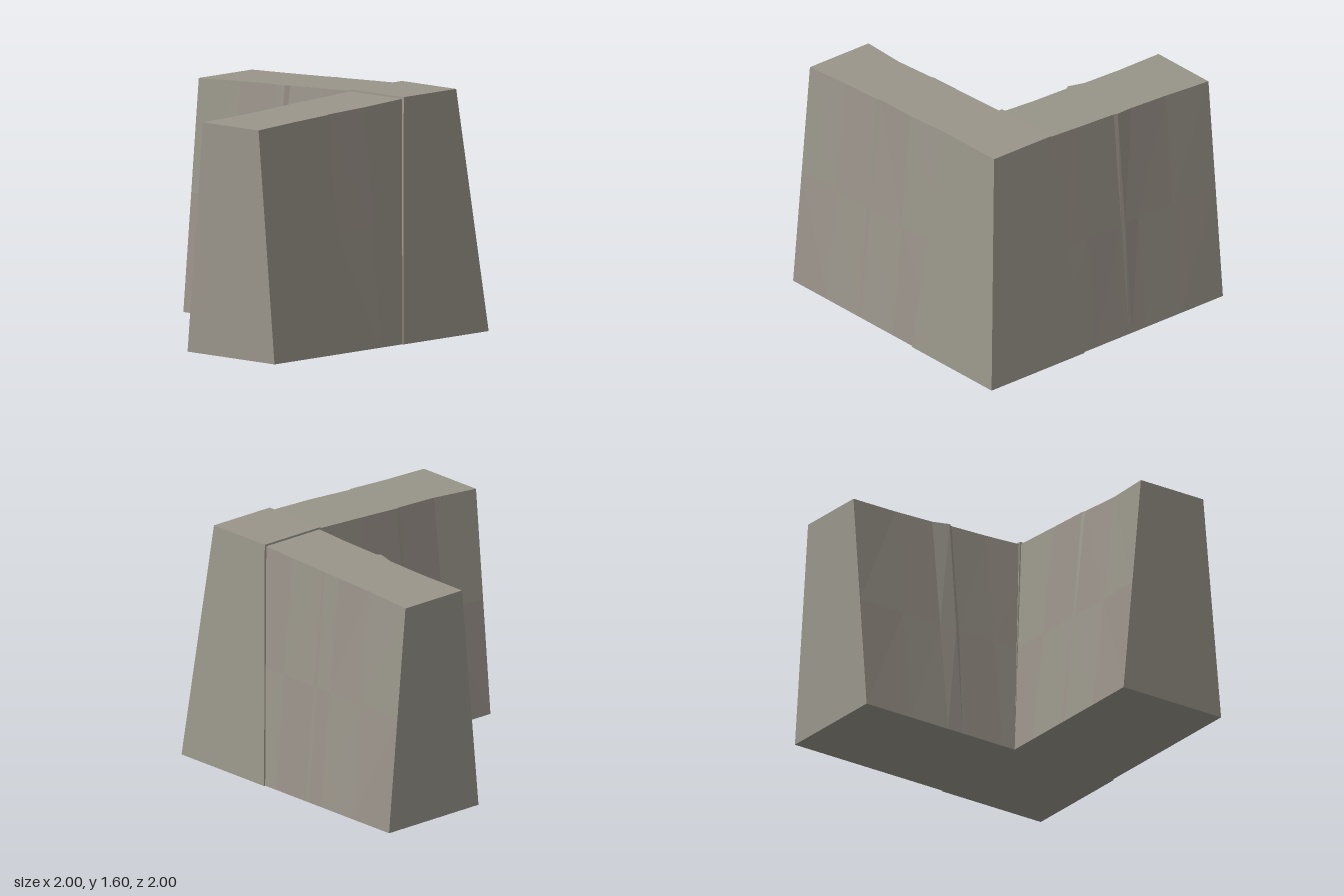
import * as THREE from 'three';

// Stations along an arm: [position, inner top edge, outer top edge]
const frontStations = [
  [-1, 0.34, 0.845], [-0.66, 0.373, 0.833], [-0.35, 0.367, 0.836], [-0.32, 0.36, 0.825],
  [0, 0.366, 0.84], [0.5, 0.37, 0.83],
];
const sideStations = [
  [-1, 0.345, 0.845], [-0.64, 0.368, 0.835], [-0.34, 0.374, 0.836], [-0.22, 0.345, 0.845],
  [-0.19, 0.366, 0.838], [0.1, 0.373, 0.84], [0.5, 0.365, 0.836],
];
const topHeight = (t) => 1.53 + (t + 1) * 0.042;

function meshFrom(name, positions, tones, materials) {
  const geometry = new THREE.BufferGeometry();
  geometry.setAttribute('position', new THREE.Float32BufferAttribute(positions, 3));
  tones.forEach((tone, i) => geometry.addGroup(i * 3, 3, tone));
  geometry.computeVertexNormals();
  const mesh = new THREE.Mesh(geometry, materials);
  mesh.name = name;
  return mesh;
}

// Tapered wall arm lofted through its stations; swap runs it along z instead of x
function wallArm(name, stations, swap, materials) {
  const positions = [], tones = [];
  const mid = 0.78;
  const rings = stations.map(([t, inner, outer]) => {
    const h = topHeight(t), f = mid / h;
    return [
      [t, 0, 0.2], [t, mid, 0.2 + (inner - 0.2) * f], [t, h, inner],
      [t, h, outer], [t, mid, 0.99 + (outer - 0.99) * f], [t, 0, 0.99],
    ];
  });
  const tri = (a, b, c, tone) => {
    for (const [t, y, across] of swap ? [a, c, b] : [a, b, c]) {
      positions.push(swap ? across : t, y, swap ? t : across);
    }
    tones.push(tone);
  };
  for (let i = 0; i < rings.length - 1; i++) {
    for (let k = 0; k < 6; k++) {
      const n = (k + 1) % 6;
      // Stone panels alternate gently on the sloping faces
      const tone = k === 2 || k === 5 ? 0 : (i + (k === 0 || k === 4 ? 1 : 0)) % 2;
      tri(rings[i][k], rings[i][n], rings[i + 1][n], tone);
      tri(rings[i][k], rings[i + 1][n], rings[i + 1][k], tone);
    }
  }
  const first = rings[0], last = rings[rings.length - 1];
  for (let k = 1; k < 5; k++) {
    tri(first[0], first[k + 1], first[k], 0);
    tri(last[0], last[k], last[k + 1], 0);
  }
  return meshFrom(name, positions, tones, materials);
}

// Square corner pier, tapering on all four sides
function cornerPier(material) {
  const geometry = new THREE.BoxGeometry(1, 1, 1);
  const p = geometry.attributes.position;
  for (let i = 0; i < p.count; i++) {
    const top = p.getY(i) > 0;
    const low = top ? 0.358 : 0.2, high = top ? 0.85 : 1;
    p.setXYZ(i, p.getX(i) > 0 ? high : low, top ? 1.6 : 0, p.getZ(i) > 0 ? high : low);
  }
  geometry.computeVertexNormals();
  const mesh = new THREE.Mesh(geometry, material);
  mesh.name = 'cornerPier';
  return mesh;
}

export function createModel() {
  const stone = new THREE.MeshStandardMaterial({ color: 0x99958a });
  stone.name = 'greyStone';
  const warm = new THREE.MeshStandardMaterial({ color: 0x9a9289 });
  warm.name = 'warmStone';
  stone.flatShading = warm.flatShading = true;

  const group = new THREE.Group();
  group.name = 'wallCorner';
  group.add(
    wallArm('frontWall', frontStations, false, [stone, warm]),
    wallArm('sideWall', sideStations, true, [stone, warm]),
    cornerPier(stone),
  );
  return group;
}
